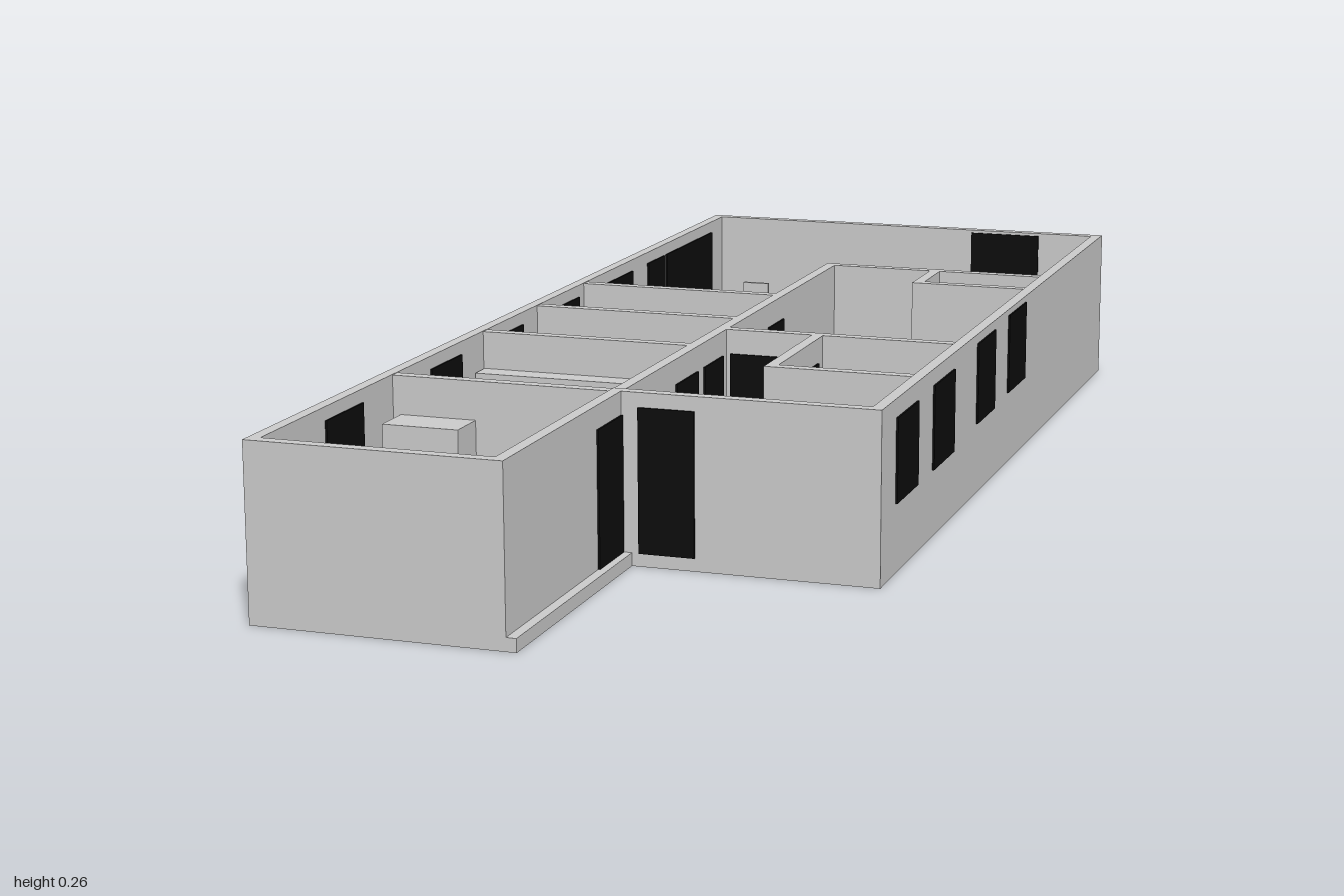
import * as THREE from 'three';

const H = 0.26, FLOOR = 0.02, T = 0.018, W = 0.768, L = 1.977, MAIN = 1.54, EXT = 0.378;
const grey = new THREE.MeshStandardMaterial({ color: 0xcccccc, flatShading: true });
const black = new THREE.MeshStandardMaterial({ color: 0x0c0c0c });

export function createModel() {
  const model = new THREE.Group();
  model.name = 'house';
  // plan coordinates: a runs across the house, b along it, from the back corner
  const plan = new THREE.Group();
  plan.name = 'plan';
  plan.rotation.y = -THREE.MathUtils.degToRad(20.75);
  plan.position.set(-0.013, 0, -1);
  model.add(plan);

  const add = (name, geo, mat, x, y, z, parent = plan) => {
    const m = new THREE.Mesh(geo, mat);
    m.name = name;
    m.position.set(x, y, z);
    parent.add(m);
    return m;
  };
  const box = (name, a0, a1, b0, b1, y0, y1, mat = grey, parent = plan) =>
    add(name, new THREE.BoxGeometry(a1 - a0, y1 - y0, b1 - b0), mat,
      (a0 + a1) / 2, (y0 + y1) / 2, (b0 + b1) / 2, parent);

  // floor slab, with a small ledge beside the narrow wing
  const outline = [[0, 0], [W, 0], [W, MAIN], [EXT + 0.015, MAIN], [EXT + 0.015, L], [0, L]];
  const floor = new THREE.ExtrudeGeometry(
    new THREE.Shape(outline.map(([a, b]) => new THREE.Vector2(a, -b))), { depth: FLOOR, bevelEnabled: false });
  floor.rotateX(-Math.PI / 2);
  add('floor', floor, grey, 0, 0, 0);

  // outer walls: one extruded ring per storey plan
  const ring = new THREE.Shape([[0, 0], [W, 0], [W, MAIN], [EXT, MAIN], [EXT, L], [0, L]]
    .map(([a, b]) => new THREE.Vector2(a, -b)));
  ring.holes.push(new THREE.Path([[T, T], [T, L - T], [EXT - T, L - T], [EXT - T, MAIN - T], [W - T, MAIN - T], [W - T, T]]
    .map(([a, b]) => new THREE.Vector2(a, -b))));
  const walls = new THREE.ExtrudeGeometry(ring, { depth: H - FLOOR, bevelEnabled: false });
  walls.rotateX(-Math.PI / 2);
  add('outerWalls', walls, grey, 0, FLOOR, 0);

  // partitions: [a0, a1, b0, b1]
  const P = EXT - T;
  [
    [P, EXT, 0.44, MAIN - T],
    [EXT, W - T, 0.44, 0.44 + T],
    [0.553, 0.553 + T, 0.44 + T, 0.56],
    [0.553, W - T, 0.56, 0.56 + T],
    [T, P, 0.745, 0.745 + T],
    [T, P, 0.957, 0.957 + T],
    [T, P, 1.183, 1.183 + T],
    [T, P, MAIN - T, MAIN],
    [EXT, W - T, 1.045, 1.045 + T],
    [0.52, 0.52 + T, 1.045 + T, 1.31],
    [0.52 + T, W - T, 1.31 - T, 1.31],
  ].forEach(([a0, a1, b0, b1]) => box('partition', a0, a1, b0, b1, FLOOR, H - 0.001));

  // dark panels standing a little proud of both wall faces
  const E = 0.003;
  const panelAlong = (name, a, b0, b1, y0, y1) => box(name, a - E, a + T + E, b0, b1, y0, y1, black);
  const panelAcross = (name, b, a0, a1, y0, y1) => box(name, a0, a1, b - E, b + T + E, y0, y1, black);

  // windows
  [[0.645, 0.768, 0.12, 0.25], [0.864, 0.982, 0.115, 0.245], [1.13, 1.255, 0.105, 0.235], [1.345, 1.463, 0.105, 0.232]]
    .forEach(w => panelAlong('window', W - T, ...w));
  [[0.085, 0.345], [0.525, 0.66], [0.79, 0.905], [1.04, 1.16], [1.29, 1.405], [1.645, 1.765]]
    .forEach(([b0, b1]) => panelAlong('window', 0, b0, b1, 0.1, 0.24));
  panelAcross('window', 0, 0.52, 0.65, 0.12, 0.255);

  // doors
  panelAlong('patioDoor', 0, 0.355, 0.445, FLOOR, 0.24);
  panelAcross('frontDoor', MAIN - T, 0.404, 0.49, FLOOR, 0.238);
  panelAlong('wingDoor', P, MAIN, 1.638, FLOOR, 0.225);
  [[0.765, 0.845], [1.085, 1.175], [1.205, 1.305]].forEach(([b0, b1]) => panelAlong('innerDoor', P, b0, b1, FLOOR, 0.22));
  panelAlong('innerDoor', 0.52, 1.09, 1.195, FLOOR, 0.22);
  panelAlong('innerDoor', 0.553, 0.465, 0.55, FLOOR, 0.22);
  panelAcross('innerDoor', 1.045, 0.385, 0.5, FLOOR, 0.22);

  // simple block furniture: [name, a0, a1, b0, b1, top]
  [
    ['mediaUnit', 0.28, 0.51, 0.02, 0.055, 0.06],
    ['sideboard', 0.065, 0.3, 0.695, 0.735, 0.08],
    ['stool', 0.04, 0.08, 0.66, 0.69, 0.08],
    ['hallCabinet', 0.383, 0.42, 0.6, 0.735, 0.16],
    ['kitchenCounter', 0.55, 0.75, 0.58, 0.625, 0.1],
    ['kitchenCounter', 0.7, 0.75, 0.625, 0.88, 0.1],
    ['kitchenCounter', 0.67, 0.75, 0.88, 1.04, 0.1],
    ['tallCabinet', 0.7, 0.75, 0.6, 0.66, 0.2],
    ['smallBedDesk', 0.25, 0.355, 0.91, 0.955, 0.09],
    ['wardrobe', 0.02, 0.165, 0.977, 1.02, 0.2],
    ['drawers', 0.19, 0.26, 0.977, 1.01, 0.1],
    ['wardrobe', 0.02, 0.27, 1.203, 1.24, 0.2],
    ['cabinet', 0.03, 0.15, MAIN, 1.605, 0.2],
    ['cabinet', 0.18, 0.25, MAIN, 1.57, 0.1],
    ['bench', 0.07, 0.3, 1.92, 1.957, 0.09],
    ['cabinet', 0.3, 0.357, 1.665, 1.735, 0.1],
    ['cabinet', 0.285, 0.357, 1.745, 1.8, 0.1],
    ['cabinet', 0.31, 0.357, 1.83, 1.9, 0.1],
    ['vanity', 0.6, 0.75, 1.065, 1.105, 0.1],
    ['bathCabinet', 0.54, 0.575, 1.25, 1.29, 0.18],
    ['bathCabinet', 0.62, 0.65, 1.25, 1.29, 0.08],
    ['washStand', 0.69, 0.75, 0.525, 0.558, 0.1],
  ].forEach(([n, a0, a1, b0, b1, top]) => box(n, a0, a1, b0, b1, FLOOR, top));
  box('screen', 0.35, 0.46, 0.03, 0.038, 0.07, 0.15, black);

  // beds: mattress, pillow strip and headboard
  const bed = (a0, a1, b0, b1, headAtEnd) => {
    const g = new THREE.Group();
    g.name = 'bed';
    plan.add(g);
    box('mattress', a0, a1, b0, b1, FLOOR, 0.07, grey, g);
    if (headAtEnd) box('headboard', a0, a1, b1 - 0.008, b1, 0.07, 0.11, grey, g);
    else box('headboard', a0, a0 + 0.008, b0, b1, 0.07, 0.11, grey, g);
  };
  bed(0.02, 0.205, 0.845, 0.955, false);
  bed(0.02, 0.085, 1.05, 1.18, true);
  bed(0.1, 0.29, 1.3, 1.52, true);

  // sofa with back rest, arms and loose seats
  box('sofaSeat', 0.43, 0.74, 0.325, 0.415, FLOOR, 0.065);
  box('sofaBack', 0.43, 0.74, 0.4, 0.425, FLOOR, 0.115);
  [0.425, 0.73].forEach(a => box('sofaArm', a, a + 0.015, 0.32, 0.425, FLOOR, 0.085));
  box('footstool', 0.42, 0.5, 0.27, 0.318, FLOOR, 0.055);
  box('coffeeTable', 0.52, 0.64, 0.255, 0.318, FLOOR, 0.05);
  box('chaise', 0.65, 0.74, 0.22, 0.325, FLOOR, 0.06);

  // tables on four legs
  const table = (name, a0, a1, b0, b1, top) => {
    const g = new THREE.Group();
    g.name = name;
    plan.add(g);
    box('tableTop', a0, a1, b0, b1, top - 0.008, top, grey, g);
    for (const a of [a0, a1 - 0.008]) for (const b of [b0, b1 - 0.008])
      box('tableLeg', a, a + 0.008, b, b + 0.008, FLOOR, top - 0.008, grey, g);
  };
  table('livingTable', 0.128, 0.214, 0.42, 0.6, 0.05);
  table('diningTable', 0.5, 0.6, 0.77, 0.93, 0.09);

  // dining chair
  box('chairSeat', 0.465, 0.495, 0.845, 0.875, 0.055, 0.062);
  box('chairBack', 0.462, 0.467, 0.845, 0.875, FLOOR, 0.12);

  // swivel chair in the back corner
  add('swivelBase', new THREE.CylinderGeometry(0.035, 0.035, 0.006, 8), grey, 0.1, 0.025, 0.09);
  add('swivelPost', new THREE.CylinderGeometry(0.006, 0.006, 0.05, 8), grey, 0.1, 0.05, 0.09);
  add('swivelSeat', new THREE.CylinderGeometry(0.038, 0.038, 0.012, 8), grey, 0.1, 0.08, 0.09);
  box('swivelBack', 0.075, 0.125, 0.05, 0.058, 0.085, 0.14);

  // angled cabinet in the other back corner
  box('cornerCabinet', 0.69, 0.735, 0.03, 0.09, FLOOR, 0.09).rotation.y = 0.95;

  // toilets: bowl and tank
  [[0.64, 0.475], [0.7, 1.27]].forEach(([a, b], i) => {
    const s = i ? -1 : 1;
    add('toiletBowl', new THREE.CylinderGeometry(0.018, 0.012, 0.04, 10), grey, a, 0.04, b + 0.022 * s);
    box('toiletTank', a - 0.02, a + 0.02, b - 0.01, b + 0.01, FLOOR, 0.09);
  });
  return model;
}
